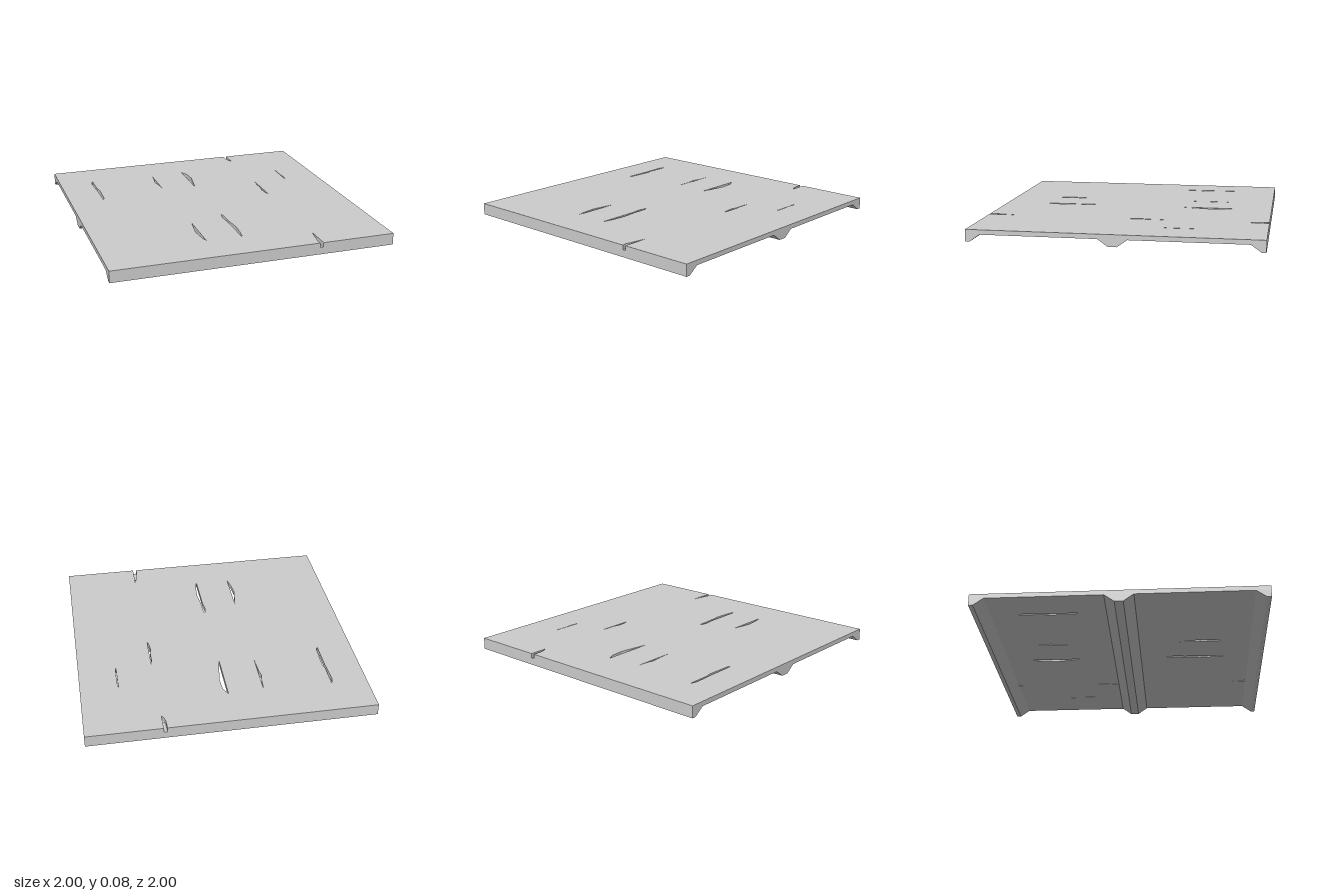
import * as THREE from 'three';

const TOP = 0.083, UNDER = 0.05;
const material = new THREE.MeshStandardMaterial({ color: 0xcccccc, flatShading: true });
const points = (list) => list.map(([a, b]) => new THREE.Vector2(a, b));

// Irregular slots cut through the deck, as [x, z] outlines
const slots = [
  [[-0.75, -0.715], [-0.762, -0.66], [-0.754, -0.5], [-0.753, -0.29], [-0.741, -0.31], [-0.735, -0.5], [-0.746, -0.54], [-0.746, -0.71]],
  [[-0.263, -0.7], [-0.27, -0.59], [-0.28, -0.55], [-0.271, -0.5], [-0.263, -0.36]],
  [[-0.012, -0.714], [0.016, -0.655], [0.023, -0.55], [0.012, -0.48], [-0.012, -0.34]],
  [[0.475, -0.3], [0.468, -0.24], [0.468, -0.16], [0.459, -0.115], [0.465, -0.05], [0.475, -0.015]],
  [[0.731, -0.52], [0.737, -0.5], [0.734, -0.42], [0.738, -0.37], [0.735, -0.31], [0.73, -0.3], [0.731, -0.42]],
  [[-0.263, 0.38], [-0.28, 0.5], [-0.288, 0.553], [-0.279, 0.645], [-0.263, 0.72]],
  [[-0.012, 0.29], [-0.022, 0.35], [-0.013, 0.43], [-0.012, 0.722], [-0.005, 0.71], [0.005, 0.64], [0.011, 0.54], [0, 0.43], [-0.005, 0.3]],
];

// Outline of the deck with an open notch in the front and back edges
const outline = [
  [-1, -1], [0.45, -1], [0.452, -0.93], [0.46, -0.895], [0.475, -0.87], [0.475, -1], [1, -1],
  [1, 1], [0.475, 1], [0.475, 0.8], [0.455, 0.93], [0.447, 0.97], [0.452, 1], [-1, 1],
];

function makeDeck() {
  const shape = new THREE.Shape(points(outline));
  for (const slot of slots) shape.holes.push(new THREE.Path(points(slot)));
  const geometry = new THREE.ExtrudeGeometry(shape, { depth: TOP - UNDER, bevelEnabled: false });
  geometry.rotateX(Math.PI / 2).translate(0, TOP, 0);
  const mesh = new THREE.Mesh(geometry, material);
  mesh.name = 'slottedDeck';
  return mesh;
}

// Rib running across the full width; profile is [z, y]
function makeRib(name, profile) {
  const shape = new THREE.Shape(points(profile.map(([z, y]) => [-z, y])));
  const geometry = new THREE.ExtrudeGeometry(shape, { depth: 2, bevelEnabled: false });
  geometry.rotateY(Math.PI / 2).translate(-1, 0, 0);
  const mesh = new THREE.Mesh(geometry, material);
  mesh.name = name;
  return mesh;
}

export function createModel() {
  const model = new THREE.Group();
  model.name = 'ribbedPanel';
  model.add(makeDeck());
  model.add(makeRib('middleRib', [[-0.1, UNDER], [-0.03, 0], [0.03, 0], [0.1, UNDER]]));
  // Edge ribs have a vertical outer face and a sloped inner face
  for (const [name, s] of [['frontRib', 1], ['backRib', -1]]) {
    model.add(makeRib(name, [[s * 0.9, UNDER], [s * 0.97, 0], [s, 0], [s, UNDER]]));
  }
  return model;
}
